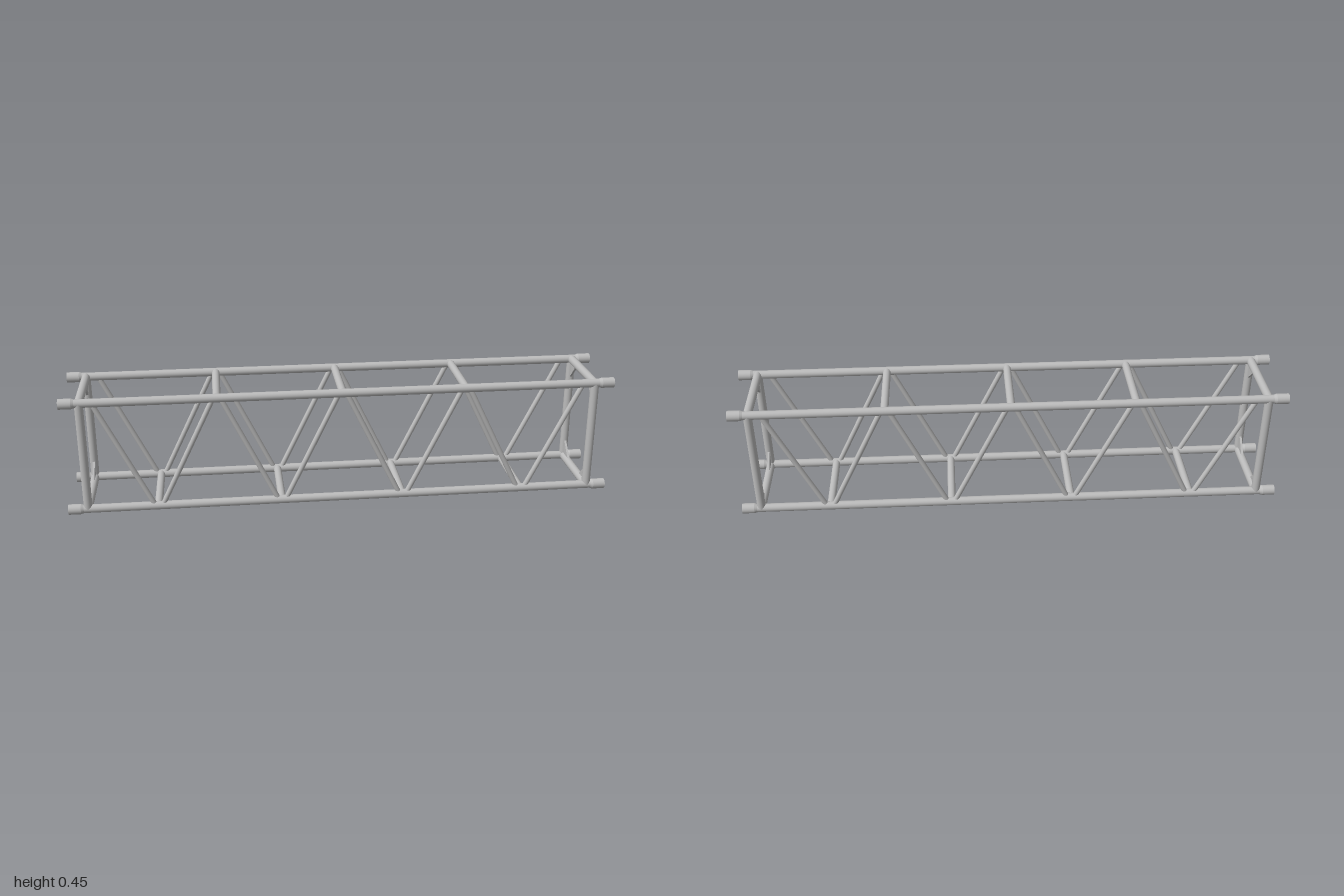
import * as THREE from 'three';

const LOW = 0.0195, HIGH = 0.4275, SIDE = 0.141; // chord centre lines
const END = 0.93;                                // x of the end frames

export function createModel() {
  const model = new THREE.Group();
  model.name = 'trussSegment';
  const aluminium = new THREE.MeshStandardMaterial({ color: 0xbbbbbb });
  aluminium.name = 'aluminium';

  const add = (name, geometry) => {
    const mesh = new THREE.Mesh(geometry, aluminium);
    mesh.name = name;
    model.add(mesh);
    return mesh;
  };

  // Round bar between two points
  const bar = (name, a, b, radius) => {
    const from = new THREE.Vector3(...a), to = new THREE.Vector3(...b);
    const dir = to.clone().sub(from);
    const mesh = add(name, new THREE.CylinderGeometry(radius, radius, dir.length(), 20));
    mesh.position.copy(from).add(to).multiplyScalar(0.5);
    mesh.quaternion.setFromUnitVectors(new THREE.Vector3(0, 1, 0), dir.normalize());
  };

  // Coupler sleeve: straight collar with a short taper onto the chord
  const sleeve = new THREE.LatheGeometry([
    [0.0155, 0.945], [0.019, 0.955], [0.019, 0.955], [0.019, 1], [0.019, 1], [0, 1],
  ].map(([r, y]) => new THREE.Vector2(r, y)), 24);

  // Chords and their end sleeves
  for (const z of [-SIDE, SIDE]) {
    for (const y of [LOW, HIGH]) {
      bar('chord', [-0.99, y, z], [0.99, y, z], 0.0155);
      for (const s of [-1, 1]) {
        const mesh = add('endSleeve', sleeve);
        mesh.rotation.z = -s * Math.PI / 2;
        mesh.position.set(0, y, z);
      }
    }
  }

  // Corner gusset, a thin triangle with its right angle at the chord
  const triangle = new THREE.Shape([
    new THREE.Vector2(0, 0), new THREE.Vector2(0.083, 0), new THREE.Vector2(0, 0.083),
  ]);
  const gusset = new THREE.ExtrudeGeometry(triangle, { depth: 0.008, bevelEnabled: false });
  gusset.translate(0, 0, -0.004);

  // End frames: posts, rails and gussets
  for (const x of [-END, END]) {
    for (const z of [-SIDE, SIDE]) bar('endPost', [x, LOW, z], [x, HIGH, z], 0.0155);
    for (const y of [LOW, HIGH]) bar('endRail', [x, y, -SIDE], [x, y, SIDE], 0.0155);
    for (let i = 0; i < 4; i++) {
      // Quarter turns in the frame plane place one gusset in each corner
      const holder = new THREE.Group();
      holder.name = 'cornerGusset';
      const z = i === 0 || i === 3 ? -SIDE : SIDE;
      const y = i < 2 ? LOW : HIGH;
      holder.position.set(x, y, z);
      holder.rotation.y = -Math.PI / 2;
      const plate = add('gussetPlate', gusset);
      plate.rotation.z = i * Math.PI / 2;
      holder.add(plate);
      model.add(holder);
    }
  }

  // Cross bars between the two side frames
  for (const x of [-0.45, 0, 0.45]) {
    bar('topCrossBar', [x, HIGH, -SIDE], [x, HIGH, SIDE], 0.0145);
  }
  for (const x of [-0.677, -0.226, 0.223, 0.673]) {
    bar('bottomCrossBar', [x, LOW, -SIDE], [x, LOW, SIDE], 0.0145);
  }

  // Zigzag diagonals on both sides, with a small gap at each node
  for (const z of [-SIDE, SIDE]) {
    for (let i = 0; i < 8; i++) {
      const x = -0.9 + i * 0.225;
      const down = i % 2 === 0;
      bar('diagonal', [x + 0.013, down ? HIGH : LOW, z],
        [x + 0.212, down ? LOW : HIGH, z], 0.0095);
    }
  }
  return model;
}
